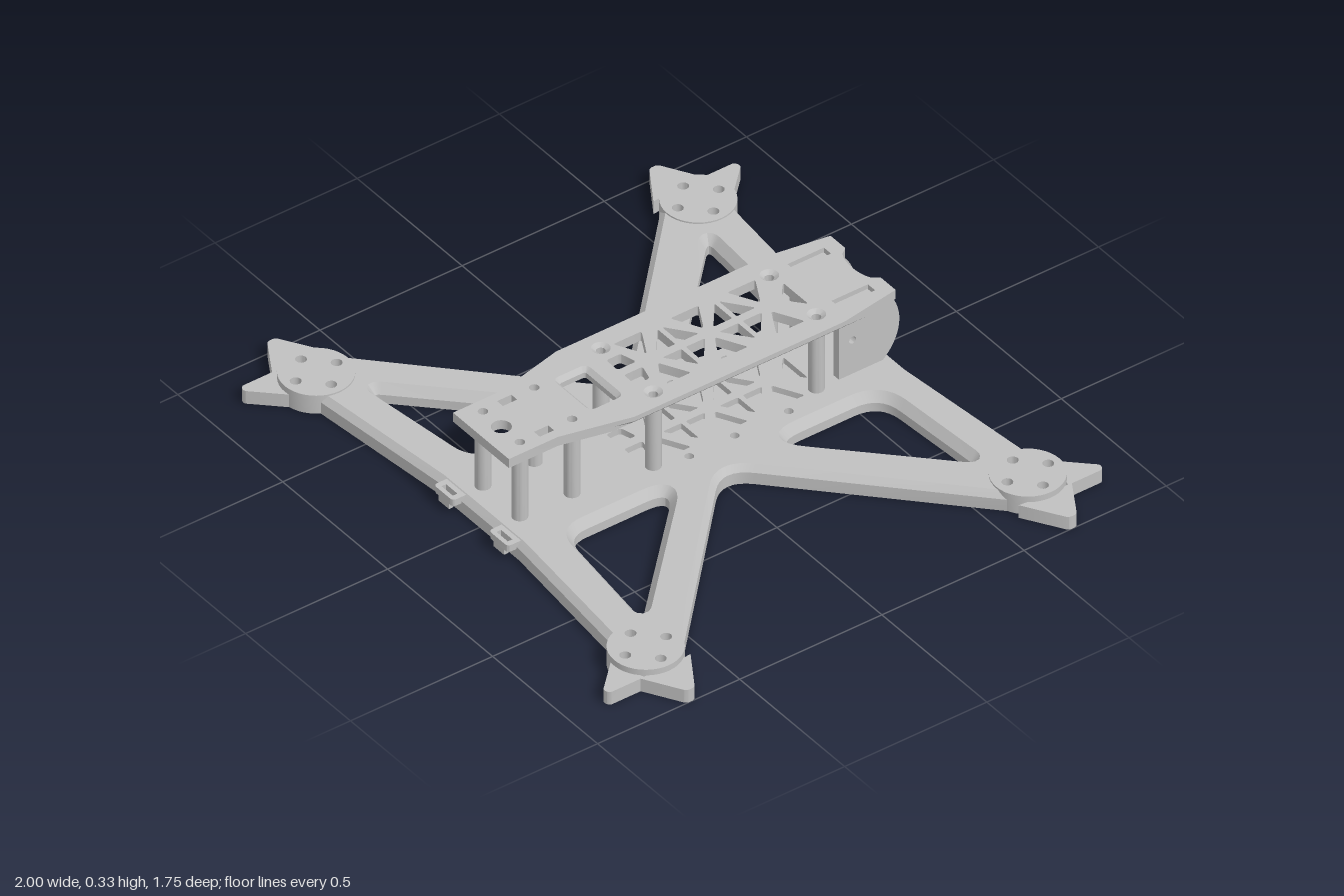
import * as THREE from 'three';
import { toCreasedNormals } from 'three/addons/utils/BufferGeometryUtils.js';

const V = (x, z) => new THREE.Vector2(x, z);

// closed contour from [x, z, cornerRadius] points, corners softened
function contour(points) {
  const out = [], n = points.length;
  points.forEach(([x, z, r = 0], i) => {
    const p = V(x, z);
    if (!r) return out.push(p);
    const toward = ([qx, qz]) => {
      const d = V(qx - x, qz - z), len = d.length();
      return p.clone().addScaledVector(d, Math.min(r, len * 0.49) / len);
    };
    const curve = new THREE.QuadraticBezierCurve(toward(points[(i + n - 1) % n]), p, toward(points[(i + 1) % n]));
    out.push(...curve.getPoints(8));
  });
  return out;
}
const circle = (x, z, r, n = 20) => Array.from({ length: n }, (_, i) =>
  V(x + r * Math.cos(i / n * Math.PI * 2), z + r * Math.sin(i / n * Math.PI * 2)));
const rect = (x, z, w, d, r = 0) => contour([[x - w, z - d, r], [x + w, z - d, r], [x + w, z + d, r], [x - w, z + d, r]]);

// moves a contour inward by d, or outward when d is negative
function inset(pts, d) {
  const s = Math.sign(THREE.ShapeUtils.area(pts)), n = pts.length;
  const normal = (a, b) => V(-(b.y - a.y) * s, (b.x - a.x) * s).normalize();
  return pts.map((p, i) => {
    const a = normal(pts[(i + n - 1) % n], p), b = normal(p, pts[(i + 1) % n]);
    return p.clone().addScaledVector(a.clone().add(b), d / Math.max(0.4, 1 + a.dot(b)));
  });
}

// plate from rings [[y, contour], ...] listed bottom to top, with through holes and blind top pockets
function plateGeometry(outer, holes = [], pockets = []) {
  const pos = [];
  const wall = (rings, flip) => {
    const ccw = (THREE.ShapeUtils.area(rings[0][1]) > 0) !== flip;
    for (let k = 0; k + 1 < rings.length; k++) {
      const [y0, lo] = rings[k], [y1, hi] = rings[k + 1], n = lo.length;
      for (let i = 0; i < n; i++) {
        const j = (i + 1) % n;
        const a = [lo[i].x, y0, lo[i].y], b = [lo[j].x, y0, lo[j].y];
        const c = [hi[j].x, y1, hi[j].y], d = [hi[i].x, y1, hi[i].y];
        if (ccw) pos.push(...a, ...c, ...b, ...a, ...d, ...c);
        else pos.push(...a, ...b, ...c, ...a, ...c, ...d);
      }
    }
  };
  const cap = ([y, edge], cuts, up) => {
    const all = [edge, ...cuts].flat();
    for (const face of THREE.ShapeUtils.triangulateShape(edge, cuts)) {
      const t = face.map(i => all[i]);
      if ((THREE.ShapeUtils.area(t) > 0) === up) t.reverse();
      t.forEach(p => pos.push(p.x, y, p.y));
    }
  };
  wall(outer, false);
  [...holes, ...pockets].forEach(h => wall(h, true));
  cap(outer[0], holes.map(h => h[0][1]), false);
  cap(outer.at(-1), [...holes, ...pockets].map(h => h.at(-1)[1]), true);
  pockets.forEach(p => cap(p[0], [], true));
  const g = new THREE.BufferGeometry();
  g.setAttribute('position', new THREE.Float32BufferAttribute(pos, 3));
  return toCreasedNormals(g, 0.5);
}

// truss cut-outs shared by the top deck and the base pockets
function truss() {
  const cuts = [contour([[-0.06, -0.435, 0.01], [0.06, -0.435, 0.01], [0.02, -0.4, 0.01], [-0.02, -0.4, 0.01]])];
  for (const s of [1, -1]) {
    for (const z of [-0.33, -0.13, 0.07])
      cuts.push(contour([[s * 0.118, z - 0.05, 0.01], [s * 0.118, z + 0.05, 0.01], [s * 0.025, z, 0.012]]));
    for (const z of [-0.23, -0.03]) for (const t of [1, -1])
      cuts.push(contour([[s * 0.014, z + t * 0.008, 0.006], [s * 0.1, z + t * 0.008, 0.01], [s * 0.014, z + t * 0.075, 0.01]]));
    cuts.push(contour([[s * 0.015, 0.115, 0.01], [s * 0.07, 0.13, 0.01], [s * 0.07, 0.18, 0.01], [s * 0.015, 0.18, 0.01]]));
  }
  return cuts;
}

export function createModel() {
  const model = new THREE.Group();
  const carbon = new THREE.MeshStandardMaterial({ color: 0xc0c0c0 });
  carbon.name = 'grey';
  const add = (name, geometry, parent = model) => {
    const mesh = new THREE.Mesh(geometry, carbon);
    mesh.name = name;
    parent.add(mesh);
  };
  const through = (pts, y0, y1) => [[y0, pts], [y1, pts]];
  const MX = 0.785, MZ = 0.672;
  const posts = [[0.112, -0.425], [0.125, 0.158], [0.09, 0.418], [0.088, 0.6]]
    .flatMap(([x, z]) => [[x, z], [-x, z]]);
  const corners = [[1, 1], [1, -1], [-1, -1], [-1, 1]];
  const screws = (x, z) => [0, 1, 2, 3].map(i =>
    circle(x + 0.072 * Math.cos(i * Math.PI / 2), z + 0.072 * Math.sin(i * Math.PI / 2), 0.017, 14));

  // base plate: four arms around a central spine, rear edge left square
  const quarter = [[0.19, 0.677]];
  for (let a = 150; a >= -72; a -= 12) {
    const t = a * Math.PI / 180;
    quarter.push([MX + 0.109 * Math.cos(t), MZ + 0.109 * Math.sin(t)]);
  }
  const half = [...quarter, [0.23, 0, 0.1], ...quarter.map(([x, z]) => [x, -z]).reverse()];
  const outline = contour([...half, [-0.19, -0.677], ...half.map(([x, z, r]) => [-x, z, r]).reverse().slice(1)]);
  const bevelled = inset(outline, 0.018).map((p, i) =>
    outline[i].y < -0.66 && Math.abs(outline[i].x) < 0.7 ? outline[i] : p);
  const windows = [1, -1].flatMap(s => [
    [[s * 0.642, -0.599, 0.035], [s * 0.217, -0.57, 0.09], [s * 0.217, -0.182, 0.11]],
    [[s * 0.649, 0.583, 0.035], [s * 0.217, 0.531, 0.07], [s * 0.217, 0.153, 0.1]],
  ]).map(contour).map(w => [[0, w], [0.03, w], [0.06, inset(w, -0.022)]]);
  const baseHoles = [
    ...posts.map(([x, z]) => circle(x, z, 0.014, 14)),
    ...corners.flatMap(([sx, sz]) => [...screws(sx * MX, sz * MZ), circle(sx * 0.15, sz * 0.08 - 0.03, 0.014, 14)]),
    ...[1, -1].flatMap(s => [circle(s * 0.15, -0.3, 0.014, 14), circle(s * 0.055, -0.56, 0.014, 14)]),
  ].map(h => through(h, 0, 0.06));
  const pockets = truss().map(t => through(t, 0.04, 0.06));
  add('basePlate', plateGeometry(
    [[0, outline], [0.04, outline], [0.06, bevelled]], [...windows, ...baseHoles], pockets));

  // motor mounts with two protective fins each
  for (const [sx, sz] of corners) {
    const mount = new THREE.Group();
    mount.name = 'motorMount';
    model.add(mount);
    add('motorPad', plateGeometry(through(circle(sx * MX, sz * MZ, 0.111, 40), 0.001, 0.065),
      screws(sx * MX, sz * MZ).map(h => through(h, 0.001, 0.065))), mount);
    const fin = pts => plateGeometry(through(
      contour(pts.map(([x, z, r]) => [sx * (MX + x), sz * (MZ + z), r])), 0, 0.045));
    add('sideFin', fin([[0.09, 0.088], [0.215, 0.014, 0.01], [0.215, -0.014, 0.01], [0.085, -0.095], [0.094, 0]]), mount);
    add('endFin', fin([[-0.02, 0.108], [0.072, 0.203, 0.01], [0.093, 0.195, 0.01], [0.093, 0.072], [0.05, 0.09]]), mount);
  }

  // hollow standoffs
  for (const [x, z] of posts)
    add('standoff', plateGeometry(through(circle(x, z, 0.024), 0.06, 0.296), [through(circle(x, z, 0.014, 14), 0.06, 0.296)]));

  // top deck, undersides of the wide edges bevelled
  const side = [[0.155, -0.672], [0.172, -0.565], [0.187, -0.47], [0.187, 0.27], [0.172, 0.334], [0.133, 0.5], [0.133, 0.672]];
  const notch = Array.from({ length: 11 }, (_, i) => {
    const t = i / 10 * 2 - 1;
    return [0.085 * t, -0.672 + 0.038 * Math.sqrt(Math.max(0, 1 - t * t))];
  });
  const deck = contour([...notch, ...side, ...side.map(([x, z]) => [-x, z]).reverse()]);
  const deckUnder = deck.map(p => V(THREE.MathUtils.clamp(p.x, -0.172, 0.172), p.y));
  const camWindow = rect(0, 0.295, 0.09, 0.06, 0.025);
  const deckHoles = [
    ...truss(), circle(0, 0.6, 0.03),
    ...[1, -1].flatMap(s => [rect(s * 0.088, 0.515, 0.014, 0.025), rect(s * 0.105, -0.56, 0.017, 0.064)]),
  ].map(h => through(h, 0.294, 0.326));
  deckHoles.push([[0.294, inset(camWindow, 0.014)], [0.312, inset(camWindow, 0.014)], [0.326, camWindow]]);
  posts.forEach(([x, z], i) => deckHoles.push(i < 4
    ? [[0.294, circle(x, z, 0.014)], [0.316, circle(x, z, 0.014)], [0.326, circle(x, z, 0.028)]]
    : through(circle(x, z, 0.015), 0.294, 0.326)));
  add('topDeck', plateGeometry([[0.294, deckUnder], [0.31, deck], [0.326, deck]], deckHoles));

  for (const s of [1, -1]) {
    // rounded rear side plate, drawn in z and y then stood upright
    const cheek = new THREE.Shape();
    cheek.moveTo(-0.5, 0.06).lineTo(-0.5, 0.314).lineTo(-0.62, 0.314).lineTo(-0.62, 0.296).lineTo(-0.665, 0.296);
    cheek.bezierCurveTo(-0.73, 0.23, -0.73, 0.125, -0.655, 0.06);
    cheek.closePath();
    cheek.holes.push(new THREE.Path().absarc(-0.548, 0.18, 0.012, 0, Math.PI * 2, true));
    const g = new THREE.ExtrudeGeometry(cheek, { depth: 0.026, bevelEnabled: false, curveSegments: 16 });
    g.rotateY(-Math.PI / 2).translate(s * 0.105 + 0.013, 0, 0);
    add('rearSidePlate', toCreasedNormals(g, 0.5));

    // front strap loop and the nub beneath it
    add('strapLoop', plateGeometry(
      through(contour([[s * 0.085, 0.655], [s * 0.085, 0.708, 0.015], [s * 0.177, 0.708, 0.015], [s * 0.177, 0.655]]), 0.034, 0.057),
      [through(rect(s * 0.131, 0.686, 0.027, 0.008), 0.034, 0.057)]));
    add('strapNub', new THREE.BoxGeometry(0.05, 0.022, 0.016).translate(s * 0.131, 0.024, 0.698));
  }
  return model;
}
